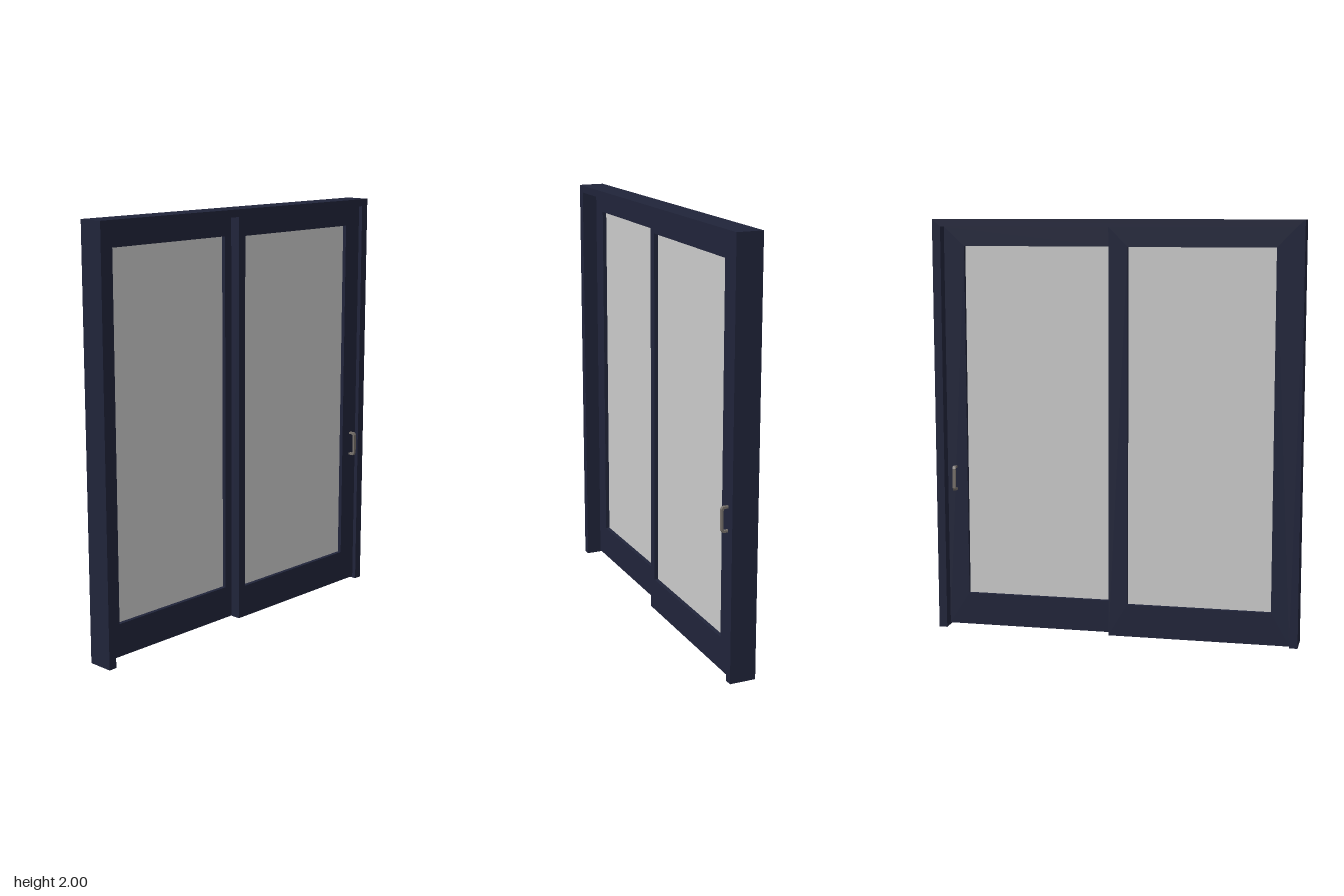
import * as THREE from 'three';

const navy = new THREE.MeshStandardMaterial({ color: 0x20243a });
const metal = new THREE.MeshStandardMaterial({ color: 0x77716b });
const grey = new THREE.MeshStandardMaterial({ color: 0xcccccc });

// Box given by its limits on each axis
function box(name, [x0, x1], [y0, y1], [z0, z1], material) {
  const mesh = new THREE.Mesh(new THREE.BoxGeometry(x1 - x0, y1 - y0, z1 - z0), material);
  mesh.position.set((x0 + x1) / 2, (y0 + y1) / 2, (z0 + z1) / 2);
  mesh.name = name;
  return mesh;
}

function polygon(points, Type = THREE.Shape) {
  return new Type(points.map(([x, y]) => new THREE.Vector2(x, y)));
}

function extrude(name, shape, depth, z, material) {
  const geometry = new THREE.ExtrudeGeometry(shape, { depth, bevelEnabled: false });
  const mesh = new THREE.Mesh(geometry, material);
  mesh.position.z = z;
  mesh.name = name;
  return mesh;
}

// Door panel: one surround with a window opening, and a pane set in the middle
function doorPanel(name, [x0, x1], [gx0, gx1], [z0, z1]) {
  const panel = new THREE.Group();
  panel.name = name;
  const y0 = 0.008, y1 = 1.965, gy0 = 0.165, gy1 = 1.873;
  const surround = polygon([[x0, y0], [x1, y0], [x1, y1], [x0, y1]]);
  surround.holes.push(polygon([[gx0, gy0], [gx0, gy1], [gx1, gy1], [gx1, gy0]], THREE.Path));
  const mid = (z0 + z1) / 2;
  panel.add(
    extrude('panelSurround', surround, z1 - z0, z0, navy),
    box('glassPane', [gx0, gx1], [gy0, gy1], [mid - 0.006, mid + 0.006], grey),
  );
  return panel;
}

// Pull handle: bracket profile with slanted ends, reaching out along +z
function pullHandle(name) {
  const reach = 0.035, h = 0.06, t = 0.01;
  const profile = polygon([
    [0, -h], [reach - 0.008, -h], [reach, -h + 0.012], [reach, h - 0.012],
    [reach - 0.008, h], [0, h], [0, h - t], [reach - 0.014, h - t],
    [reach - t, h - 0.018], [reach - t, -h + 0.018], [reach - 0.014, -h + t], [0, -h + t],
  ]);
  const handle = extrude(name, profile, 0.015, 0, metal);
  handle.geometry.translate(0, 0, -0.0075);
  handle.geometry.rotateY(-Math.PI / 2);
  return handle;
}

export function createModel() {
  const model = new THREE.Group();
  model.name = 'slidingDoor';

  // Outer frame: two jambs and a header in one arch-like profile
  const frame = polygon([
    [-0.885, 0], [-0.845, 0], [-0.845, 1.965], [0.845, 1.965],
    [0.845, 0], [0.885, 0], [0.885, 2], [-0.885, 2],
  ]);
  model.add(extrude('outerFrame', frame, 0.125, -0.07, navy));

  // Overlapping panels on two tracks
  model.add(
    doorPanel('fixedPanel', [-0.845, 0.026], [-0.757, -0.066], [-0.068, -0.018]),
    doorPanel('slidingPanel', [-0.028, 0.845], [0.014, 0.745], [-0.015, 0.035]),
  );

  // Handles on both faces of the sliding panel
  const front = pullHandle('frontHandle');
  front.position.set(0.804, 0.745, 0.035);
  const back = pullHandle('backHandle');
  back.position.set(0.804, 0.745, -0.015);
  back.rotation.y = Math.PI;
  model.add(front, back);

  return model;
}
